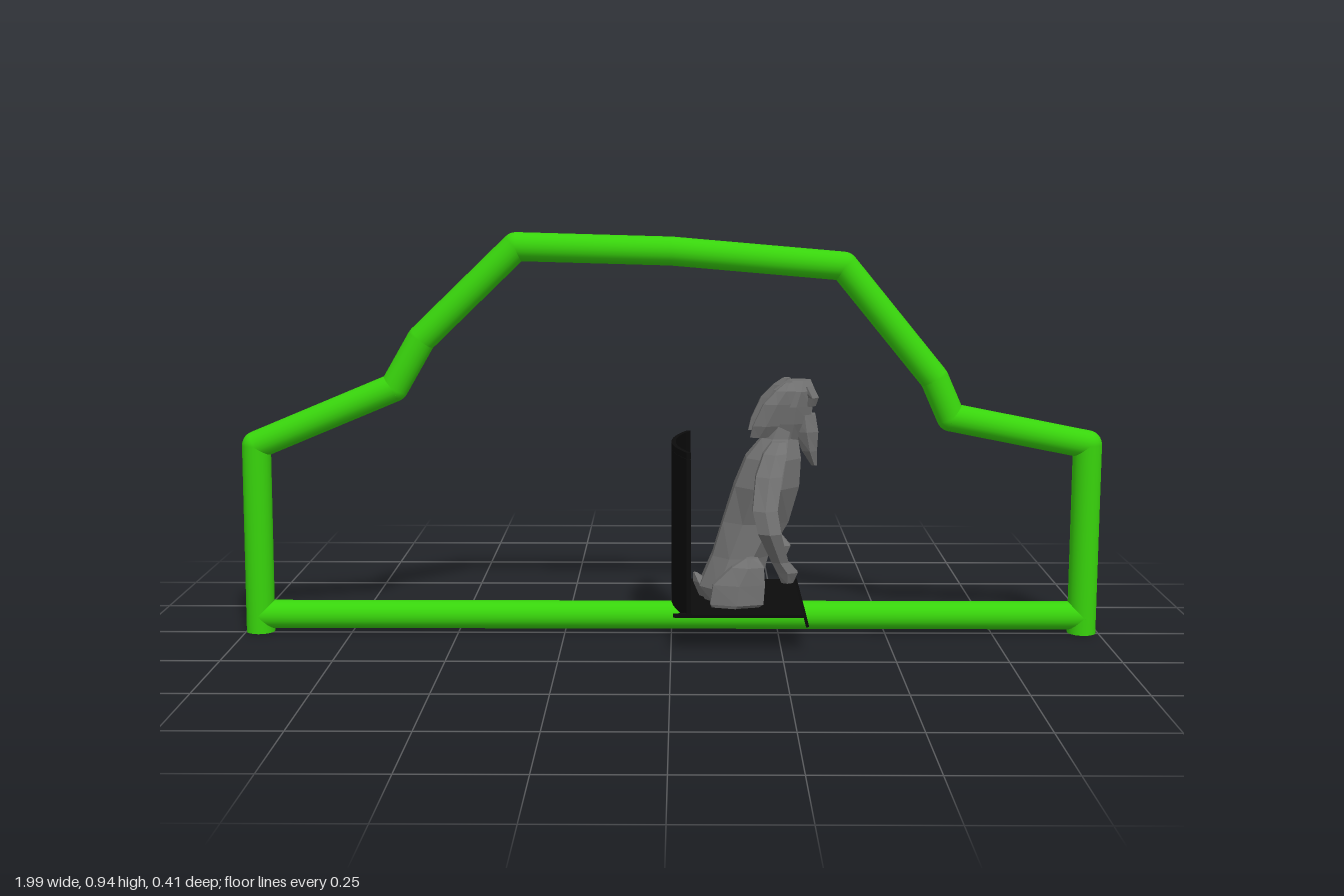
import * as THREE from 'three';

const green = new THREE.MeshStandardMaterial({ color: 0x38d40c });
const black = new THREE.MeshStandardMaterial({ color: 0x0b0b0b, side: THREE.DoubleSide });
const fur = new THREE.MeshStandardMaterial({ color: 0x707070, flatShading: true });

function mesh(name, geometry, material, parent) {
  const m = new THREE.Mesh(geometry, material);
  m.name = name;
  parent.add(m);
  return m;
}

// Faceted solid through horizontal rings [x, y, z, radiusX, radiusZ], listed bottom to top
function loft(rings, sides, mirror = 1) {
  const pos = [], index = [], n = rings.length;
  for (const [x, y, z, rx, rz] of rings)
    for (let i = 0; i < sides; i++) {
      const a = ((i + 0.5) / sides) * Math.PI * 2;
      pos.push(x + Math.cos(a) * rx, y, z * mirror + Math.sin(a) * rz);
    }
  for (const r of [rings[0], rings[n - 1]]) pos.push(r[0], r[1], r[2] * mirror);
  for (let i = 0; i < sides; i++) {
    const j = (i + 1) % sides, top = (n - 1) * sides;
    for (let k = 0; k < n - 1; k++) {
      const a = k * sides + i, b = k * sides + j;
      index.push(a, a + sides, b + sides, a, b + sides, b);
    }
    index.push(n * sides, i, j, n * sides + 1, top + j, top + i);
  }
  const g = new THREE.BufferGeometry();
  g.setAttribute('position', new THREE.Float32BufferAttribute(pos, 3));
  g.setIndex(index);
  g.computeVertexNormals();
  return g;
}

// Plan outline (x, z) extruded upward
function slab(points, y, height) {
  const shape = new THREE.Shape(points.map(([x, z]) => new THREE.Vector2(x, -z)));
  return new THREE.ExtrudeGeometry(shape, { depth: height, bevelEnabled: false, steps: 1 })
    .rotateX(-Math.PI / 2).translate(0, y, 0);
}

function buildFrame() {
  const frame = new THREE.Group();
  frame.name = 'tubeFrame';
  const R = 0.033, Z = -0.009, up = new THREE.Vector3(0, 1, 0);
  const pipe = (name, a, b) => {
    const d = b.clone().sub(a);
    const m = mesh(name, new THREE.CylinderGeometry(R, R, d.length(), 20), green, frame);
    m.position.copy(a).add(b).multiplyScalar(0.5);
    m.quaternion.setFromUnitVectors(up, d.normalize());
  };
  const path = [[-0.967, 0], [-0.963, 0.443], [-0.64, 0.578], [-0.575, 0.69], [-0.355, 0.902],
    [0, 0.892], [0.393, 0.858], [0.605, 0.6], [0.645, 0.51], [0.962, 0.447], [0.962, 0]]
    .map(([x, y]) => new THREE.Vector3(x, y, Z));
  for (let i = 1; i < path.length; i++) {
    pipe('frameTube', path[i - 1], path[i]);
    if (i < path.length - 1)
      mesh('frameJoint', new THREE.SphereGeometry(R, 20, 12), green, frame).position.copy(path[i]);
  }
  pipe('bottomRail', new THREE.Vector3(-0.967, 0.041, Z), new THREE.Vector3(0.965, 0.041, Z));
  return frame;
}

function buildSeat() {
  const seat = new THREE.Group();
  seat.name = 'seat';
  // Curved backrest
  const arc = (offset, half) => Array.from({ length: 13 }, (_, i) => {
    const t = i / 6 - 1;
    return [offset + 0.035 * t * t, t * half - 0.004];
  });
  mesh('seatBack', slab([...arc(0, 0.171), ...arc(0.01, 0.171).reverse()], 0.08, 0.36), black, seat);
  mesh('seatBackTop', slab([...arc(0, 0.165), ...arc(0.01, 0.165).reverse()], 0.44, 0.014), black, seat);
  // Base with a curved rear edge, corner tabs and a turned-down front lip
  mesh('seatBase', slab([[0.3, -0.177], [0.005, -0.177], [0.005, -0.167], [0.03, -0.16],
    ...arc(0, 0.15), [0.03, 0.16], [0.005, 0.167], [0.005, 0.177], [0.3, 0.177]], 0.081, 0.007), black, seat);
  const lip = mesh('seatLip', new THREE.BoxGeometry(0.007, 0.03, 0.354), black, seat);
  lip.position.set(0.304, 0.074, 0);
  lip.rotation.z = 0.25;
  return seat;
}

function buildFigure() {
  const figure = new THREE.Group();
  figure.name = 'seatedMonkey';
  mesh('torso', loft([[0.13, 0.07, 0, 0.05, 0.07], [0.135, 0.12, 0, 0.075, 0.085], [0.16, 0.19, 0, 0.07, 0.07],
    [0.195, 0.27, 0, 0.082, 0.065], [0.22, 0.355, 0, 0.08, 0.088], [0.235, 0.42, 0, 0.068, 0.075],
    [0.25, 0.465, 0, 0.045, 0.042], [0.262, 0.5, 0, 0.04, 0.036]], 8), fur, figure);
  mesh('tail', loft([[0.09, 0.09, 0, 0.025, 0.025], [0.07, 0.125, 0, 0.02, 0.022],
    [0.055, 0.145, 0, 0.005, 0.006]], 5), fur, figure);
  // Head with a jutting jaw and heavy brow
  mesh('head', loft([[0.265, 0.46, 0, 0.035, 0.032], [0.268, 0.5, 0, 0.055, 0.043], [0.272, 0.54, 0, 0.058, 0.048],
    [0.285, 0.575, 0, 0.05, 0.045], [0.295, 0.598, 0, 0.028, 0.025]], 7), fur, figure);
  mesh('muzzle', loft([[0.33, 0.4, 0, 0.008, 0.014], [0.318, 0.435, 0, 0.02, 0.03], [0.31, 0.48, 0, 0.032, 0.036],
    [0.305, 0.52, 0, 0.03, 0.03]], 6), fur, figure);
  mesh('brow', loft([[0.318, 0.54, 0, 0.015, 0.04], [0.322, 0.56, 0, 0.018, 0.045],
    [0.31, 0.585, 0, 0.018, 0.032]], 6), fur, figure);
  for (const s of [1, -1]) {
    const side = s > 0 ? 'left' : 'right';
    // The figure faces +x, so its own sides lie along z
    mesh(side + 'Ear', loft([[0.2, 0.473, 0.06, 0.024, 0.007], [0.215, 0.5, 0.064, 0.034, 0.014],
      [0.24, 0.55, 0.063, 0.036, 0.018], [0.26, 0.58, 0.058, 0.026, 0.018],
      [0.268, 0.597, 0.05, 0.01, 0.008]], 6, s), fur, figure);
    mesh(side + 'Arm', loft([[0.262, 0.155, 0.142, 0.015, 0.016], [0.262, 0.18, 0.145, 0.027, 0.024],
      [0.245, 0.205, 0.153, 0.022, 0.02], [0.22, 0.275, 0.178, 0.03, 0.027], [0.21, 0.325, 0.165, 0.032, 0.028],
      [0.22, 0.395, 0.118, 0.034, 0.036], [0.235, 0.44, 0.078, 0.03, 0.035],
      [0.245, 0.462, 0.05, 0.018, 0.022]], 6, s), fur, figure);
    mesh(side + 'Leg', loft([[0.135, 0.065, 0.085, 0.035, 0.03], [0.15, 0.095, 0.093, 0.07, 0.037],
      [0.155, 0.14, 0.095, 0.068, 0.031], [0.175, 0.18, 0.095, 0.042, 0.023],
      [0.185, 0.2, 0.09, 0.015, 0.012]], 6, s), fur, figure);
  }
  return figure;
}

export function createModel() {
  const model = new THREE.Group();
  model.name = 'frameWithSeatedMonkey';
  model.add(buildFrame(), buildSeat(), buildFigure());
  return model;
}
